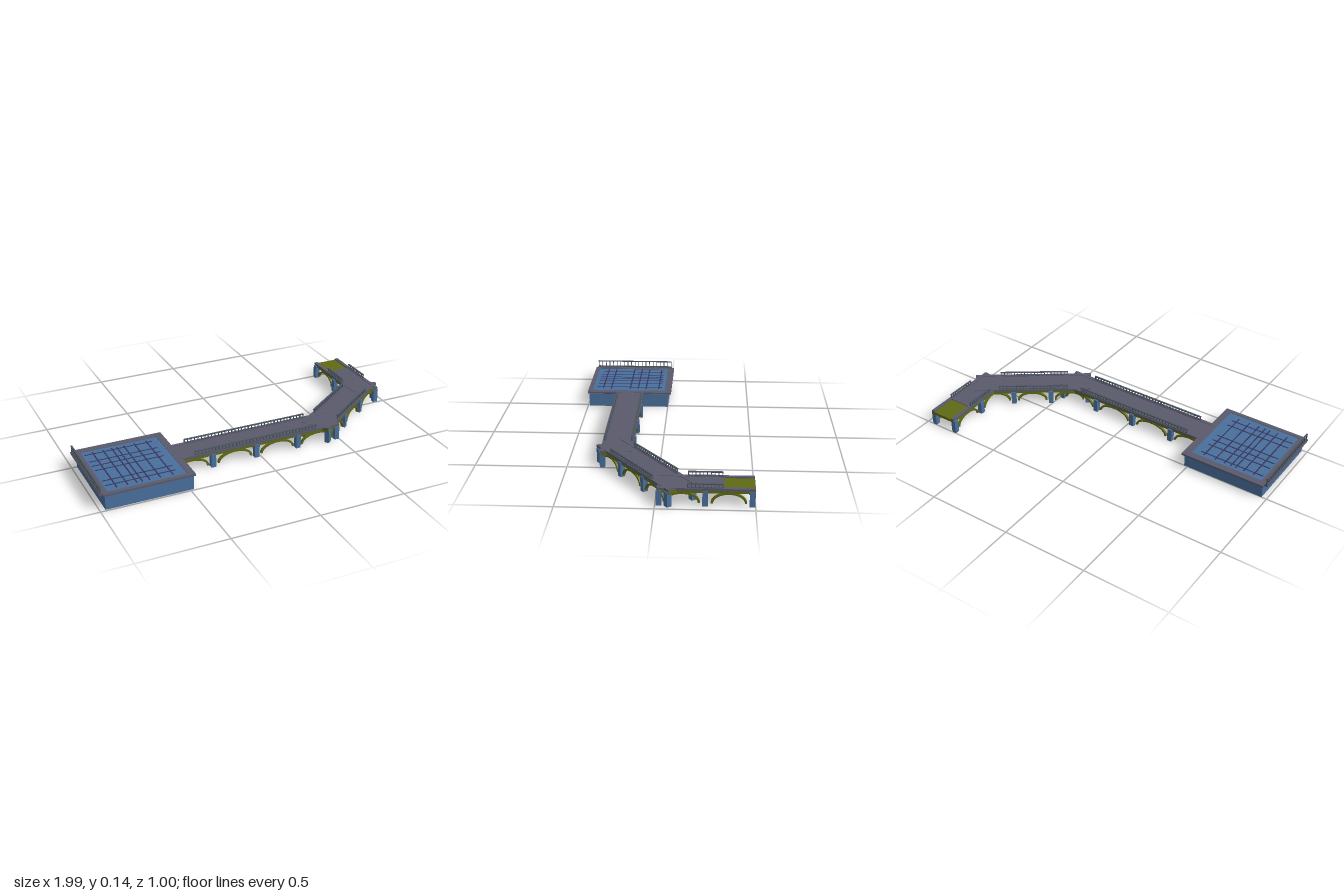
import * as THREE from 'three';

const mat = (color) => new THREE.MeshStandardMaterial({ color });
const stone = mat(0x4a6f9c);
const deckGrey = mat(0x5a5a6c);
const olive = mat(0x5f6a14);
const dark = mat(0x34345c);
const railMat = mat(0x4c5560);

// Box given by its lower and upper corners
function box(parent, name, m, x0, x1, y0, y1, z0, z1) {
  const mesh = new THREE.Mesh(new THREE.BoxGeometry(x1 - x0, y1 - y0, z1 - z0), m);
  mesh.position.set((x0 + x1) / 2, (y0 + y1) / 2, (z0 + z1) / 2);
  mesh.name = name;
  parent.add(mesh);
  return mesh;
}

// Railing along x: bottom rail, top rail and evenly spaced posts
function railing(parent, x0, x1, z, y0, y1, gap) {
  const g = new THREE.Group();
  g.name = 'railing';
  box(g, 'topRail', railMat, x0, x1, y1 - 0.005, y1, z - 0.005, z + 0.005);
  box(g, 'bottomRail', railMat, x0, x1, y0, y0 + 0.005, z - 0.005, z + 0.005);
  const n = Math.round((x1 - x0) / gap);
  for (let i = 0; i <= n; i++) {
    const x = x0 + 0.003 + (x1 - x0 - 0.006) * i / n;
    box(g, 'railPost', railMat, x - 0.002, x + 0.002, y0, y1, z - 0.003, z + 0.003);
  }
  parent.add(g);
  return g;
}

// Half-elliptical ring standing between two pillars
function arch(parent, x, z, r) {
  const s = new THREE.Shape();
  s.absellipse(0, 0, r, 0.058, 0, Math.PI, false, 0);
  const inner = new THREE.EllipseCurve(0, 0, r - 0.011, 0.048, 0, Math.PI, false, 0);
  inner.getPoints(24).reverse().forEach((p) => s.lineTo(p.x, p.y));
  s.closePath();
  const geo = new THREE.ExtrudeGeometry(s, { depth: 0.014, bevelEnabled: false, curveSegments: 24 });
  const mesh = new THREE.Mesh(geo, olive);
  mesh.position.set(x, 0.016, z - 0.007);
  mesh.name = 'arch';
  parent.add(mesh);
}

// One straight span of the bridge, running along its local x
function span(o) {
  const g = new THREE.Group();
  g.name = o.name;
  const h = o.length / 2, w = 0.083, lift = o.lift || 0;
  box(g, 'deckCore', olive, -h, h, 0.072, 0.089 + lift, -w + 0.008, w - 0.008);
  box(g, 'roadway', deckGrey, -h, o.roadEnd ?? h, 0.086, 0.093 + lift, -w + 0.006, w - 0.006);
  for (const side of [-1, 1]) {
    const z = side * (w - 0.008);
    box(g, 'edgeBeam', olive, -h, h, 0.07, 0.084, z - 0.006, z + 0.006);
    box(g, 'kerb', deckGrey, -h, h, 0.084, 0.096 + lift, z - 0.01, z + 0.01);
    railing(g, o.rail[0], o.rail[1], z, 0.095, 0.12, 0.021);
    for (const x of o.pillars) box(g, 'pillar', stone, x - 0.014, x + 0.014, 0, 0.08, z - 0.016, z + 0.012);
    for (const x of o.arches) arch(g, x, z, o.radius);
  }
  g.position.set(o.x, 0, o.z);
  g.rotation.y = o.turn;
  return g;
}

// Square landing platform with a kerbed, paved top and one railing
function platform() {
  const g = new THREE.Group();
  g.name = 'platform';
  box(g, 'platformBody', stone, -0.97, -0.48, 0, 0.078, 0, 0.49);
  box(g, 'platformNeck', dark, -0.965, -0.485, 0.078, 0.085, 0.005, 0.485);
  box(g, 'paving', stone, -0.96, -0.49, 0.083, 0.0925, 0.0, 0.49);
  box(g, 'kerbBack', deckGrey, -0.98, -0.47, 0.084, 0.095, -0.02, 0.02);
  box(g, 'kerbFront', deckGrey, -0.98, -0.47, 0.084, 0.095, 0.475, 0.5);
  box(g, 'kerbRight', deckGrey, -0.98, -0.95, 0.084, 0.095, 0.02, 0.475);
  box(g, 'kerbLeft', deckGrey, -0.51, -0.47, 0.084, 0.095, 0.02, 0.475);
  // Paving joints
  for (const x of [-0.89, -0.83, -0.78, -0.75, -0.71, -0.65, -0.58])
    box(g, 'pavingJoint', dark, x - 0.004, x + 0.004, 0.09, 0.0932, 0.04, 0.45);
  for (const z of [0.06, 0.14, 0.19, 0.24, 0.36, 0.41])
    box(g, 'pavingJoint', dark, -0.94, -0.55, 0.09, 0.0934, z - 0.004, z + 0.004);
  // Side railing and the ledge that carries it
  box(g, 'railLedge', deckGrey, -1, -0.975, 0.087, 0.097, -0.005, 0.49);
  const r = railing(g, -0.245, 0.245, 0, 0.097, 0.137, 0.024);
  r.rotation.y = Math.PI / 2;
  r.position.set(-0.992, 0, 0.242);
  return g;
}

export function createModel() {
  const model = new THREE.Group();
  model.name = 'bridge';
  model.add(platform());
  model.add(span({
    name: 'longSpan', x: 0, z: 0.235, turn: 0, length: 1, rail: [-0.4, 0.35],
    pillars: [-0.29, -0.025, 0.235, 0.485], arches: [-0.42, -0.157, 0.105, 0.36], radius: 0.105,
  }));
  model.add(span({
    name: 'diagonalSpan', x: 0.65, z: 0.0715, turn: 0.625, length: 0.71, rail: [-0.215, 0.202], lift: 0.001,
    pillars: [-0.335, -0.11, 0.115, 0.335], arches: [-0.222, 0.002, 0.225], radius: 0.09,
  }));
  model.add(span({
    name: 'endSpan', x: 0.875, z: -0.255, turn: Math.PI / 2, length: 0.49, rail: [-0.095, 0.085], lift: 0.0005,
    roadEnd: 0.09, pillars: [-0.235, -0.005, 0.23], arches: [-0.12, 0.113], radius: 0.09,
  }));
  return model;
}
